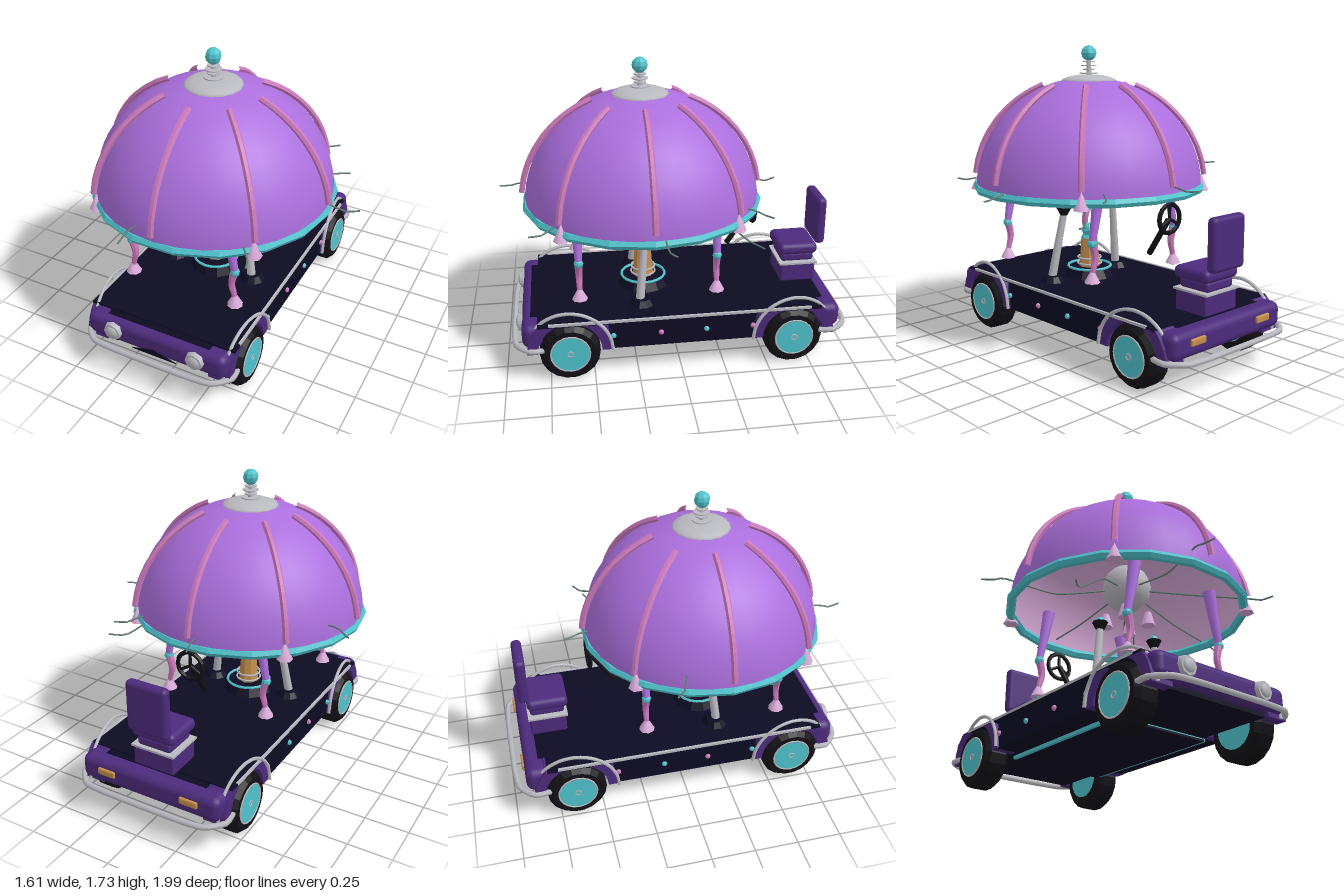
import * as THREE from 'three';
import { RoundedBoxGeometry } from 'three/addons/geometries/RoundedBoxGeometry.js';

const mat = (name, color, opts = {}) => {
  const m = new THREE.MeshStandardMaterial({ color, ...opts });
  m.name = name;
  return m;
};
const flat = { flatShading: true };
const V = (x, y, z) => new THREE.Vector3(x, y, z);

export function createModel() {
  const violet = mat('violet', 0xab6fdd);
  const plum = mat('deep plum', 0x4c2b7c);
  const navy = mat('navy', 0x0d0b22, flat);
  const black = mat('black', 0x121016, flat);
  const teal = mat('teal', 0x4fc3cd, flat);
  const silver = mat('silver', 0xb9b9c0);
  const pink = mat('pink', 0xcb79bd, flat);
  const pale = mat('pale pink', 0xd9abd9, { side: THREE.DoubleSide });
  const tan = mat('tan', 0xc58f4c, flat);
  const wire = mat('grey green', 0x647f78);

  const root = new THREE.Group();
  root.name = 'jellyfishCart';
  const body = new THREE.Group();
  body.name = 'cart';
  body.position.x = -0.03;
  root.add(body);

  const add = (name, geo, m, x = 0, y = 0, z = 0, parent = body) => {
    const mesh = new THREE.Mesh(geo, m);
    mesh.name = name;
    mesh.position.set(x, y, z);
    parent.add(mesh);
    return mesh;
  };
  const box = (w, h, d) => new THREE.BoxGeometry(w, h, d);
  const cyl = (rt, rb, h, n = 16) => new THREE.CylinderGeometry(rt, rb, h, n);
  const ball = (r) => new THREE.SphereGeometry(r, 8, 6);
  const tube = (pts, r, seg = 24, n = 6, closed = false) =>
    new THREE.TubeGeometry(new THREE.CatmullRomCurve3(pts, closed, 'catmullrom', 0.3), seg, r, n, closed);
  const ring = (r, t, n = 20) => new THREE.TorusGeometry(r, t, 6, n).rotateX(Math.PI / 2);
  const lathe = (pts, n) => new THREE.LatheGeometry(pts.map(([r, y]) => new THREE.Vector2(r, y)), n);
  const rod = (name, a, b, ra, rb, m) => {
    const d = b.clone().sub(a);
    const mesh = add(name, cyl(rb, ra, d.length(), 8), m);
    mesh.position.copy(a).addScaledVector(d, 0.5);
    mesh.quaternion.setFromUnitVectors(V(0, 1, 0), d.normalize());
  };

  // Chassis and deck
  add('chassis', box(0.64, 0.17, 1.7), navy, 0, 0.262, 0);
  add('sidePanels', box(0.88, 0.17, 0.84), navy, 0, 0.262, -0.008);
  add('deck', box(0.9, 0.014, 1.62), navy, 0, 0.347, 0);
  add('underGlow', box(0.62, 0.018, 0.9), teal, 0, 0.157, -0.01);
  add('underPlate', box(0.58, 0.012, 0.92), navy, 0, 0.15, -0.01);
  add('nose', new RoundedBoxGeometry(0.87, 0.145, 0.12, 3, 0.045), plum, 0, 0.272, 0.84);
  add('tail', new RoundedBoxGeometry(0.87, 0.145, 0.13, 3, 0.045), plum, 0, 0.272, -0.865);
  const vent = new THREE.Shape([[-0.14, 0.21], [0.14, 0.21], [0, 0.25]].map(([x, y]) => new THREE.Vector2(x, y)));
  add('noseVent', new THREE.ExtrudeGeometry(vent, { depth: 0.006, bevelEnabled: false }), navy, 0, 0, 0.898);

  // Fender cross-section, flattened where it meets the deck
  const fenderPts = [];
  for (let i = 0; i <= 16; i++) {
    const a = (i / 16) * Math.PI;
    fenderPts.push(new THREE.Vector2(0.24 * Math.cos(a), Math.min(0.24 * Math.sin(a), 0.172)));
  }
  for (let i = 16; i >= 0; i--) {
    const a = (i / 16) * Math.PI;
    fenderPts.push(new THREE.Vector2(0.18 * Math.cos(a), Math.min(0.18 * Math.sin(a), 0.166)));
  }
  const fenderGeo = new THREE.ExtrudeGeometry(new THREE.Shape(fenderPts), { depth: 0.13, bevelEnabled: false })
    .translate(0, 0, -0.065).rotateY(-Math.PI / 2);
  const tireGeo = lathe([[0.09, -0.07], [0.145, -0.0725], [0.17, -0.045], [0.17, 0.045], [0.145, 0.0725], [0.09, 0.07]], 18)
    .rotateZ(Math.PI / 2);

  for (const s of [-1, 1]) {
    for (const z of [0.635, -0.65]) {
      // Wheels, fenders and arch rails
      add('tire', tireGeo, black, s * 0.395, 0.172, z);
      add('hubcap', cyl(0.11, 0.11, 0.15, 20).rotateZ(Math.PI / 2), teal, s * 0.395, 0.175, z);
      for (const r of [0.11, 0.016])
        add('hubRing', new THREE.TorusGeometry(r, 0.005, 5, 20).rotateY(Math.PI / 2), silver, s * 0.469, 0.175, z);
      add('fender', fenderGeo, plum, s * 0.385, 0.177, z);
      const arch = [];
      for (let i = 0; i <= 10; i++) {
        const a = (i / 10) * Math.PI;
        const dz = Math.cos(a) * 0.24;
        arch.push(V(s * (0.435 - 0.1 * dz * Math.sign(z)), 0.18 + 0.235 * Math.sin(a), z + dz));
      }
      add('archRail', tube(arch, 0.01), silver);
    }
    // Side trim and studs
    add('deckTrim', box(0.014, 0.014, 1.5), silver, s * 0.445, 0.352, 0);
    [0.39, 0.12, -0.14, -0.41].forEach((z, i) => add('sideStud', ball(0.016), i % 2 ? pink : teal, s * 0.442, 0.26, z));
    // Lamps
    const lamp = x => s * x;
    add('headlightRim', cyl(0.05, 0.058, 0.025, 8).rotateX(Math.PI / 2), silver, lamp(0.257), 0.285, 0.908);
    add('headlightLens', new THREE.SphereGeometry(0.038, 8, 5).scale(1, 1, 0.4), silver, lamp(0.257), 0.285, 0.92);
    add('tailLight', new RoundedBoxGeometry(0.11, 0.04, 0.02, 2, 0.009), tan, lamp(0.26), 0.285, -0.933);
    // Levers with knobs
    add('leverFoot', cyl(0.05, 0.075, 0.035, 10), navy, s * 0.26, 0.37, 0.21);
    rod('leverPole', V(s * 0.258, 0.37, 0.22), V(s * 0.197, 0.76, 0.18), 0.026, 0.02, silver);
    add('leverCap', cyl(0.045, 0.022, 0.045, 8), black, s * 0.196, 0.772, 0.18);
    add('leverKnob', ball(0.032), teal, s * 0.196, 0.795, 0.18);
  }

  // Wrap-around bumpers
  for (const [s, end] of [[1, 0.95], [-1, 0.985]]) {
    const half = [[0.44, end - 0.22], [0.455, end - 0.1], [0.37, end - 0.015], [0.2, end]];
    const path = [...half.map(([x, z]) => V(x, 0.2, s * z)), ...half.reverse().map(([x, z]) => V(-x, 0.2, s * z))];
    add(s > 0 ? 'frontBumper' : 'rearBumper', tube(path, 0.017, 40), silver);
  }

  // Driver seat
  add('seatBase', new RoundedBoxGeometry(0.25, 0.115, 0.21, 2, 0.01), plum, 0, 0.412, -0.755);
  add('seatTrim', box(0.265, 0.012, 0.23), silver, 0, 0.472, -0.755);
  add('seatNeck', new RoundedBoxGeometry(0.21, 0.06, 0.2, 2, 0.02), plum, 0, 0.505, -0.755);
  add('seatCushion', new RoundedBoxGeometry(0.265, 0.07, 0.235, 3, 0.03), plum, 0, 0.562, -0.752);
  add('seatBack', new RoundedBoxGeometry(0.25, 0.29, 0.06, 3, 0.025), plum, 0, 0.735, -0.882);

  // Steering
  rod('steeringColumn', V(0, 0.58, -0.335), V(0, 0.79, -0.475), 0.017, 0.017, black);
  add('steeringWheel', new THREE.TorusGeometry(0.08, 0.013, 6, 16), black, 0, 0.8, -0.485);
  for (let i = 0; i < 3; i++) {
    const a = Math.PI / 2 + i * Math.PI * 2 / 3;
    rod('steeringSpoke', V(0, 0.8, -0.485), V(0.08 * Math.cos(a), 0.8 + 0.08 * Math.sin(a), -0.485), 0.009, 0.009, black);
  }

  // Everything around the canopy axis
  const axis = new THREE.Group();
  axis.name = 'canopyAxis';
  axis.position.z = 0.175;
  body.add(axis);
  const onAxis = (name, geo, m, x, y, z) => add(name, geo, m, x, y, z, axis);

  // Central column
  onAxis('columnBase', cyl(0.12, 0.155, 0.06, 12), navy, 0, 0.38, 0);
  onAxis('columnGlow', ring(0.13, 0.008), teal, 0, 0.413, 0);
  onAxis('column', cyl(0.048, 0.062, 0.19, 8), tan, 0, 0.495, 0);
  for (const [r, y] of [[0.072, 0.43], [0.07, 0.465]]) onAxis('columnRing', ring(r, 0.006), silver, 0, y, 0);
  onAxis('columnCollar', cyl(0.04, 0.052, 0.02, 8), teal, 0, 0.595, 0);
  onAxis('columnKnob', ball(0.046), teal, 0, 0.632, 0);

  // Canopy shells, rim and crown
  const domePts = (r, h) => Array.from({ length: 15 }, (_, i) => {
    const a = (i / 14) * 1.36;
    return [r * Math.cos(a), 0.9 + h * Math.sin(a)];
  });
  onAxis('canopy', lathe(domePts(0.67, 0.65), 32), violet);
  onAxis('canopyLining', lathe(domePts(0.655, 0.635).reverse(), 32), pale);
  onAxis('canopyRim', ring(0.665, 0.026, 18), teal, 0, 0.915, 0);
  onAxis('crown', new THREE.SphereGeometry(0.165, 16, 8).scale(1, 0.25, 1), silver, 0, 1.525, 0);
  onAxis('finialPole', cyl(0.012, 0.016, 0.14, 8), silver, 0, 1.61, 0);
  [[0.055, 1.573], [0.035, 1.595], [0.046, 1.617], [0.035, 1.64]].forEach(([r, y]) =>
    onAxis('finialDisc', cyl(r, r, 0.006, 12), silver, 0, y, 0));
  onAxis('finialBall', ball(0.045), teal, 0, 1.69, 0);
  onAxis('innerHub', new THREE.SphereGeometry(0.14, 16, 10), silver, 0, 1.07, 0);

  // Ribs
  const ribPts = Array.from({ length: 9 }, (_, i) => {
    const a = 0.12 + i * 0.131;
    return V(0.69 * Math.cos(a), 0.9 + 0.66 * Math.sin(a), 0);
  });
  const ribGeo = tube(ribPts, 0.018, 16, 6);
  for (let i = 0; i < 8; i++) onAxis('rib', ribGeo, pink).rotation.y = i * Math.PI / 4;

  // Rim frills and hub petals on the diagonals
  for (let i = 0; i < 4; i++) {
    const a = Math.PI / 4 + i * Math.PI / 2;
    const c = Math.cos(a), s = Math.sin(a);
    onAxis('rimFrill', new THREE.ConeGeometry(0.045, 0.1, 6), pale, 0.67 * c, 0.93, 0.67 * s);
    onAxis('hubPetal', cyl(0.02, 0.042, 0.08, 6), pale, 0.12 * c, 0.87, 0.12 * s);
  }

  // Hanging tentacles
  for (const sx of [-1, 1]) for (const sz of [-1, 1]) {
    const z = sz * 0.39;
    const upper = [[0.27, 0.98], [0.287, 0.88], [0.3, 0.8], [0.315, 0.72], [0.325, 0.67]];
    const lower = [[0.325, 0.67], [0.31, 0.62], [0.305, 0.57], [0.318, 0.52], [0.325, 0.48]];
    const taper = (pts, r0, r1) => {
      // A tube narrowed along its length
      const curve = new THREE.CatmullRomCurve3(pts.map(([x, y]) => V(sx * x, y, z)));
      const g = new THREE.TubeGeometry(curve, 12, 1, 8, false);
      const p = g.attributes.position;
      for (let i = 0; i < p.count; i++) {
        const t = Math.floor(i / 9) / 12;
        const c = curve.getPointAt(t);
        const v = V(0, 0, 0).fromBufferAttribute(p, i).sub(c).multiplyScalar(r0 + (r1 - r0) * t).add(c);
        p.setXYZ(i, v.x, v.y, v.z);
      }
      return g;
    };
    onAxis('tentacleUpper', taper(upper, 0.036, 0.02), violet);
    onAxis('tentacleJoint', ball(0.027), teal, sx * 0.325, 0.665, z);
    onAxis('tentacleLower', taper(lower, 0.024, 0.014), pink);
    onAxis('tentacleBell', cyl(0.013, 0.045, 0.06, 8), pale, sx * 0.325, 0.475, z);
    onAxis('tentacleTip', ball(0.018), teal, sx * 0.325, 0.448, z);
  }

  // Thin feelers from the hub past the rim
  const tips = [[-0.77, 1.01, -0.15], [0.83, 0.92, 0.08], [0.5, 0.95, -0.49], [-0.11, 0.98, 0.99],
    [0.51, 0.93, 0.82], [-0.57, 0.82, 0.46], [0.6, 0.82, -0.42], [-0.07, 0.96, -0.63]];
  tips.forEach(([x, y, zw], i) => {
    const z = zw - 0.175;
    const at = (f, h, side = 0) => V(x * f - z * side, h, z * f + x * side);
    const bend = i % 2 ? 0.03 : -0.03;
    onAxis('feeler', tube([at(0.15, 1.04), at(0.5, 0.98), at(0.84, y + 0.01, bend), at(0.92, y - 0.005, bend), at(1, y)], 0.005, 20, 5), wire);
  });

  return root;
}
